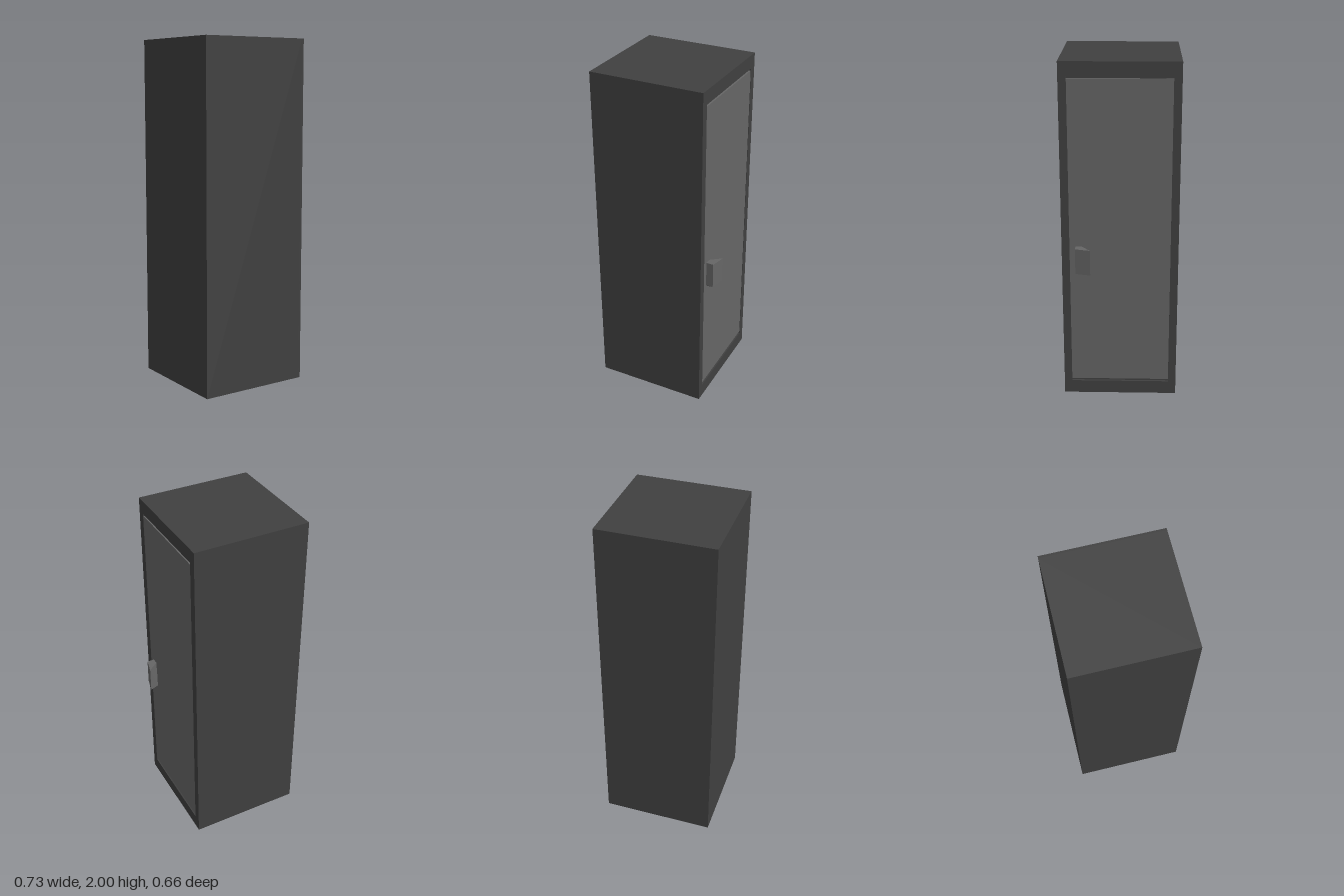
import * as THREE from 'three';
import { ConvexGeometry } from 'three/addons/geometries/ConvexGeometry.js';

const dark = new THREE.MeshStandardMaterial({ color: 0x404040 });
const grey = new THREE.MeshStandardMaterial({ color: 0x666666 });

function rectangle(path, halfWidth, bottom, top) {
  path.moveTo(-halfWidth, bottom);
  path.lineTo(halfWidth, bottom);
  path.lineTo(halfWidth, top);
  path.lineTo(-halfWidth, top);
  path.closePath();
  return path;
}

export function createModel() {
  const model = new THREE.Group();
  const add = (name, geometry, material) => {
    const mesh = new THREE.Mesh(geometry, material);
    mesh.name = name;
    model.add(mesh);
    return mesh;
  };

  const back = -0.365, face = 0.3, half = 0.332, lip = 0.012;

  // Solid cabinet behind the door frame
  const depth = face - lip - back;
  add('cabinet', new THREE.BoxGeometry(depth, 2, half * 2), dark)
    .position.set(back + depth / 2, 1, 0);

  // Shallow frame around the door opening on the +x side
  const outline = rectangle(new THREE.Shape(), half, 0, 2);
  outline.holes.push(rectangle(new THREE.Path(), 0.287, 0.08, 1.922));
  const frame = new THREE.ExtrudeGeometry(outline, { depth: lip, bevelEnabled: false });
  frame.rotateY(Math.PI / 2);
  add('doorFrame', frame, dark).position.x = face - lip;

  // Door panel, with narrow gaps above and below
  add('door', new THREE.BoxGeometry(0.01, 1.814, 0.574), grey)
    .position.set(face - 0.007, 1.002, 0);

  // Angled handle: straight wedge with a tapered underside
  const section = [[0.295, 0.219], [0.361, 0.167], [0.34, 0.253], [0.295, 0.253]];
  const points = [];
  for (const y of [0.797, 0.948]) {
    for (const [x, z] of section) points.push(new THREE.Vector3(x, y, z));
  }
  for (const z of [0.205, 0.235]) points.push(new THREE.Vector3(0.3, 0.78, z));
  add('handle', new ConvexGeometry(points), grey);

  return model;
}
